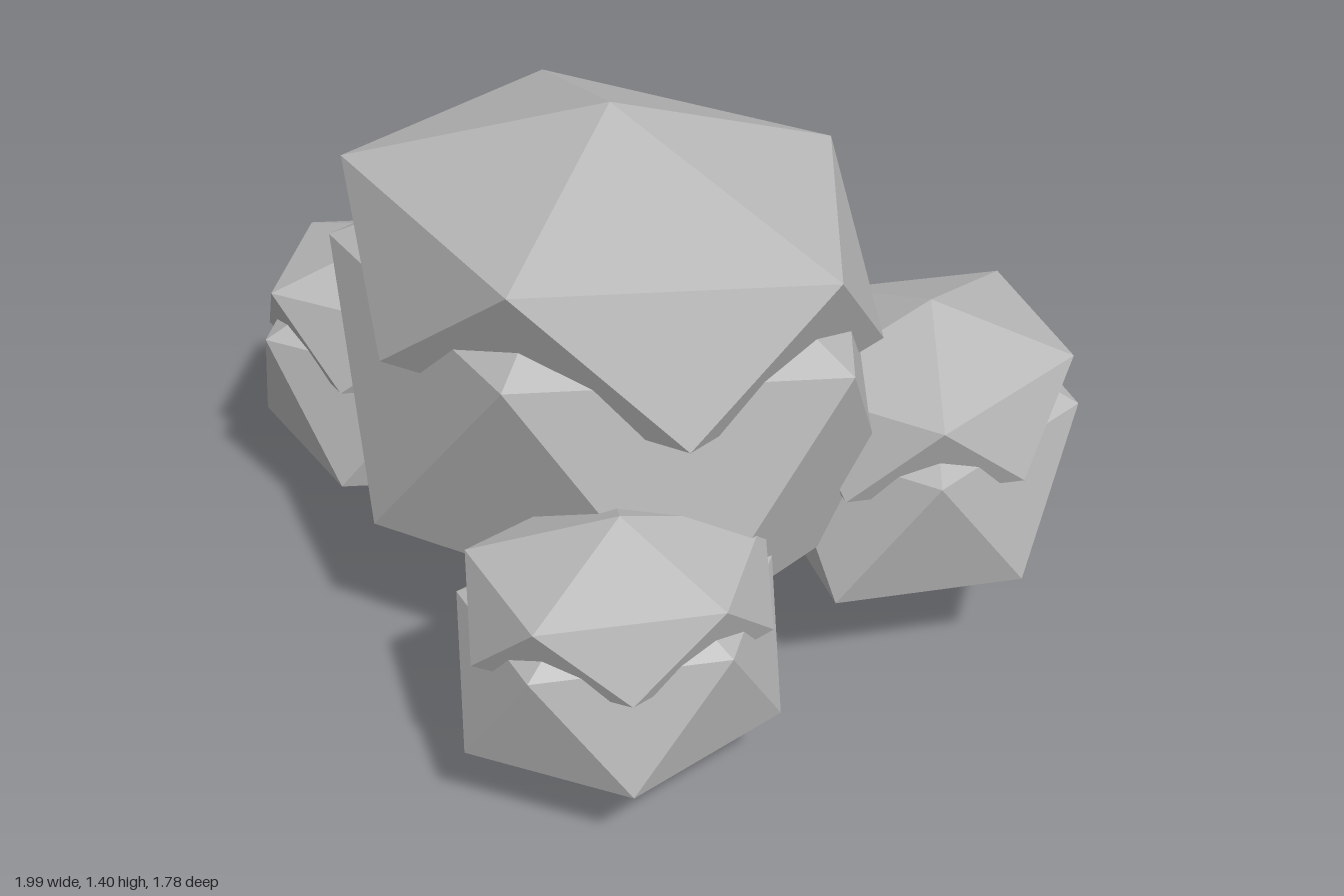
import * as THREE from 'three';
import { ConvexGeometry } from 'three/addons/geometries/ConvexGeometry.js';

const stone = new THREE.MeshStandardMaterial({ color: 0xb8b8b8 });
stone.name = 'grey stone';

// Upright 20-sided stone: two opposed five-point rings between two poles.
// plan = [xx, xz, zx, zz] stretches and turns the rings seen from above.
function facetedStone(height, plan, spread) {
  const [xx, xz, zx, zz] = plan.map((v) => v * spread);
  const ringY = height / Math.sqrt(5);
  const points = [new THREE.Vector3(0, height, 0), new THREE.Vector3(0, -height, 0)];
  for (let k = 0; k < 5; k++) {
    const a = (k * Math.PI * 2) / 5;
    const x = xx * Math.cos(a) + xz * Math.sin(a);
    const z = zx * Math.cos(a) + zz * Math.sin(a);
    points.push(new THREE.Vector3(x, ringY, z), new THREE.Vector3(-x, -ringY, -z));
  }
  return new ConvexGeometry(points);
}

// A boulder with a flatter slab sunk into its top.
function boulder({ name, position, height, plan }) {
  const group = new THREE.Group();
  group.name = name;
  group.position.set(...position);

  const body = new THREE.Mesh(facetedStone(height, plan, 1), stone);
  body.name = name + 'Body';

  const cap = new THREE.Mesh(facetedStone(height * 0.595, plan, 0.938), stone);
  cap.name = name + 'Cap';
  cap.position.y = height * 0.526;

  group.add(body, cap);
  return group;
}

const boulders = [
  { name: 'mainBoulder', position: [0.105, 0.693, 0.13], height: 0.63, plan: [0.729, 0.119, -0.145, 0.6] },
  { name: 'rightBoulder', position: [-0.595, 0.387, 0.27], height: 0.386, plan: [0.337, -0.214, 0.141, 0.365] },
  { name: 'frontLeftBoulder', position: [0.675, 0.35, 0.505], height: 0.335, plan: [0.318, 0.036, -0.076, 0.375] },
  { name: 'backLeftBoulder', position: [0.57, 0.463, -0.475], height: 0.386, plan: [0.343, -0.156, 0.247, 0.363] },
];

export function createModel() {
  const model = new THREE.Group();
  model.name = 'boulderCluster';
  for (const spec of boulders) model.add(boulder(spec));
  return model;
}
